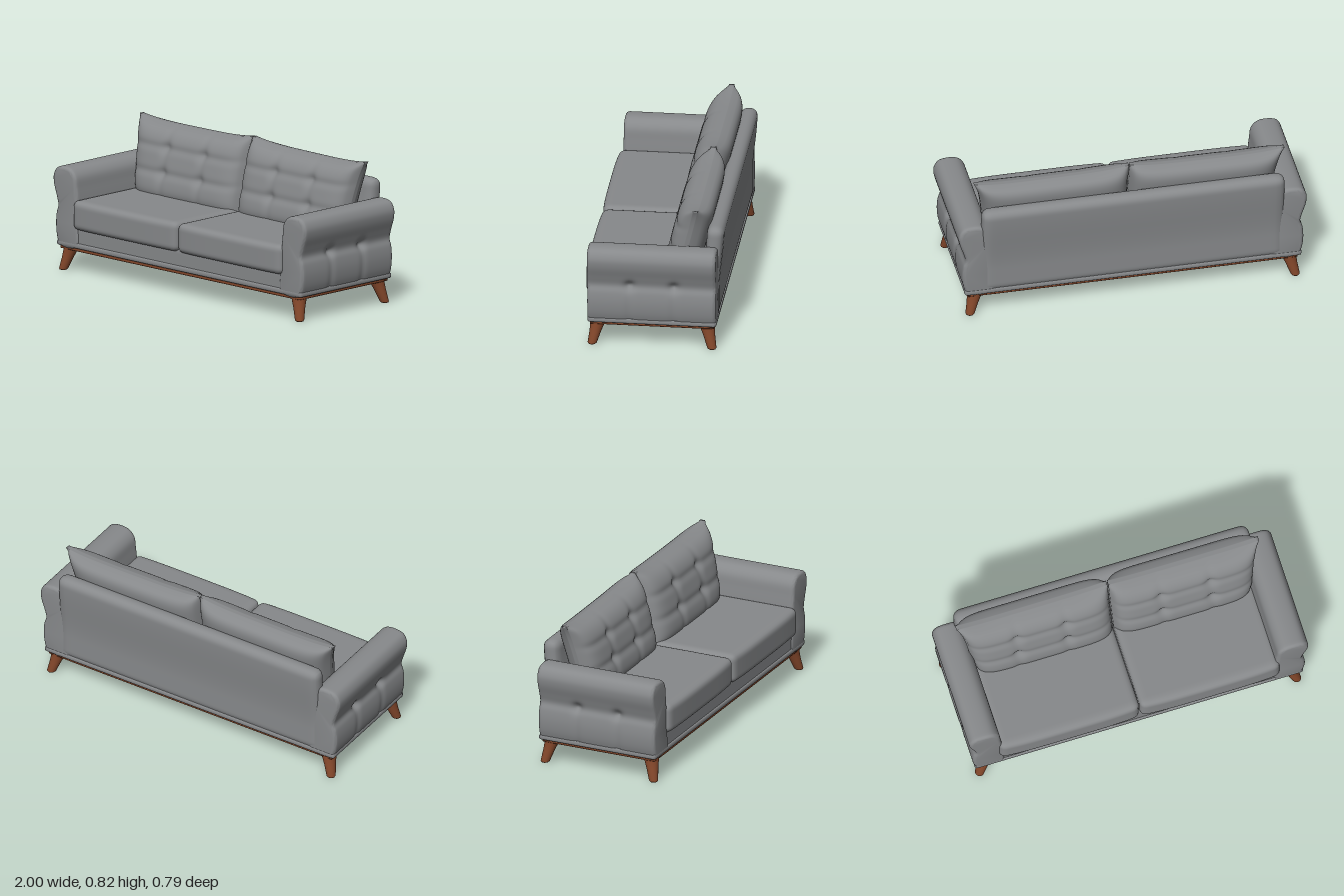
import * as THREE from 'three';
import { mergeVertices, toCreasedNormals } from 'three/addons/utils/BufferGeometryUtils.js';

const clamp = THREE.MathUtils.clamp;
const bump = (d, width) => Math.exp(-(d * d) / (width * width));

// Moves every vertex by a rule, then welds and smooths the surface
function reshape(geometry, rule) {
  geometry.deleteAttribute('uv');
  geometry.deleteAttribute('normal');
  const pos = geometry.attributes.position;
  const p = new THREE.Vector3();
  for (let i = 0; i < pos.count; i++) {
    p.fromBufferAttribute(pos, i);
    rule(p);
    pos.setXYZ(i, p.x, p.y, p.z);
  }
  const welded = mergeVertices(geometry, 1e-5);
  welded.computeVertexNormals();
  return welded;
}

// Upholstered block between two corners, with round edges and an optional extra rule
function softBlock(min, max, r, segs, rule = () => {}) {
  const size = max.map((m, i) => m - min[i]);
  const centre = new THREE.Vector3(...max.map((m, i) => (m + min[i]) / 2));
  const lim = size.map((s) => s / 2 - r);
  const inner = new THREE.Vector3();
  return reshape(new THREE.BoxGeometry(...size, ...segs), (p) => {
    inner.set(clamp(p.x, -lim[0], lim[0]), clamp(p.y, -lim[1], lim[1]), clamp(p.z, -lim[2], lim[2]));
    p.sub(inner).setLength(r).add(inner).add(centre);
    rule(p);
  });
}

// Rolled arm on the left side: an outline run from back to front, tufted outside
function armGeometry() {
  const b = 0.02;
  const outline = new THREE.CatmullRomCurve3([
    [0.945, 0.14], [0.967, 0.18], [0.978, 0.26], [0.972, 0.33], [0.96, 0.37], [0.972, 0.42],
    [0.994, 0.49], [0.996, 0.54], [0.972, 0.582], [0.92, 0.596], [0.86, 0.588], [0.824, 0.55],
    [0.813, 0.48], [0.805, 0.4], [0.8, 0.28], [0.8, 0.15],
  ].map(([x, y]) => new THREE.Vector3(x, y, 0)), true, 'centripetal');
  const shape = new THREE.Shape(outline.getPoints(72).slice(0, -1).map((p) => new THREE.Vector2(p.x, p.y)));
  const geometry = new THREE.ExtrudeGeometry(shape, {
    depth: 0.726 - 2 * b, steps: 48, bevelSize: b, bevelThickness: b, bevelOffset: -b, bevelSegments: 4,
  });
  const smooth = reshape(geometry, (p) => {
    p.z += b - 0.363;
    if (p.x < 0.935) return;
    for (const z of [-0.125, 0.125]) {
      const below = clamp((0.4 - p.y) / 0.05, 0, 1);
      p.x -= 0.022 * bump(Math.hypot(p.z - z, p.y - 0.37), 0.028) + 0.006 * below * bump(p.z - z, 0.02);
    }
  });
  return toCreasedNormals(smooth, 0.8);
}

// Tufted back cushion; side is +1 for left and -1 for right
function backCushionGeometry(side) {
  return reshape(new THREE.BoxGeometry(2, 2, 2, 60, 36, 8), (p) => {
    const across = (p.x * side + 1) / 2;
    const v = (p.y + 1) / 2;
    const w = p.z;
    const outer = 0.8 + 0.06 * Math.pow(v, 0.6) + 0.03 * Math.pow(v, 6);
    const x = 0.003 + across * (outer - 0.003);
    const rim = Math.pow(p.x, 4);
    const y = 0.4 + v * (0.395 + 0.02 * rim + 0.007 * (1 - across));
    // pillow thickness fades toward the sides and the top
    const top = 1 - Math.pow(Math.max(p.y, 0), 5);
    const foot = 1 - 0.3 * Math.pow(Math.max(-p.y, 0), 6);
    const puff = Math.max(0.14, Math.sqrt(Math.max(0, (1 - Math.pow(p.x, 8)) * top)) * foot);
    let z = -0.14 - 0.1 * v + w * 0.105 * puff;
    if (w > 0) {
      let dent = 0;
      for (const bx of [0.28, 0.57]) {
        dent += 0.006 * bump(x - bx, 0.025);
        for (const by of [0.54, 0.68]) dent += 0.014 * bump(Math.hypot(x - bx, y - by), 0.035);
      }
      for (const by of [0.54, 0.68]) dent += 0.008 * bump(y - by, 0.022);
      z -= dent * w * puff;
    }
    p.set(x * side, y, z);
  });
}

// Tapered leg that splays outward toward the corner
function legGeometry(sx, sz) {
  const profile = [[0, 0], [0.021, 0], [0.026, 0.006], [0.033, 0.07], [0.041, 0.115], [0.046, 0.135]]
    .map(([r, y]) => new THREE.Vector2(r, y));
  return reshape(new THREE.LatheGeometry(profile, 24), (p) => {
    const drop = 1 - p.y / 0.135;
    p.x += sx * (0.897 + 0.037 * drop);
    p.z += sz * (0.306 + 0.033 * drop);
  });
}

export function createModel() {
  const model = new THREE.Group();
  model.name = 'sofa';
  const fabric = new THREE.MeshStandardMaterial({ color: 0x87898b });
  fabric.name = 'grey fabric';
  const wood = new THREE.MeshStandardMaterial({ color: 0x85482b });
  wood.name = 'brown wood';

  const add = (name, geometry, material) => {
    const mesh = new THREE.Mesh(geometry, material);
    mesh.name = name;
    model.add(mesh);
    return mesh;
  };

  // Wooden plinth and legs
  add('plinth', softBlock([-0.945, 0.121, -0.352], [0.945, 0.146, 0.352], 0.006, [12, 6, 12]), wood);
  for (const sx of [1, -1]) {
    for (const sz of [1, -1]) {
      add((sz > 0 ? 'front' : 'back') + (sx > 0 ? 'Left' : 'Right') + 'Leg', legGeometry(sx, sz), wood);
    }
  }

  // Upholstered base with its welted hem
  add('base', softBlock([-0.955, 0.138, -0.36], [0.955, 0.27, 0.356], 0.02, [60, 12, 40]), fabric);
  add('hem', softBlock([-0.966, 0.138, -0.366], [0.966, 0.174, 0.364], 0.014, [80, 6, 50]), fabric);

  // Arms
  const arm = armGeometry();
  add('leftArm', arm, fabric);
  add('rightArm', arm, fabric).rotation.y = Math.PI;

  // Back panel leaning slightly to the rear
  add('backPanel', softBlock([-0.868, 0.15, -0.366], [0.868, 0.7, -0.268], 0.045, [60, 40, 10], (p) => {
    p.z -= 0.029 * THREE.MathUtils.smoothstep(p.y, 0.3, 0.68);
  }), fabric);

  // Seat and back cushions
  for (const side of [1, -1]) {
    const label = side > 0 ? 'left' : 'right';
    const x = [0.002 * side, 0.826 * side].sort((a, b) => a - b);
    add(label + 'SeatCushion', softBlock([x[0], 0.25, -0.28], [x[1], 0.42, 0.383], 0.035, [48, 16, 40], (p) => {
      const u = (Math.abs(p.x) - 0.414) / 0.412;
      if (p.z > 0.3) p.z += 0.012 * (1 - Math.pow(u, 4)) * (p.z - 0.3) / 0.083;
    }), fabric);
    add(label + 'BackCushion', backCushionGeometry(side), fabric);
  }
  return model;
}
